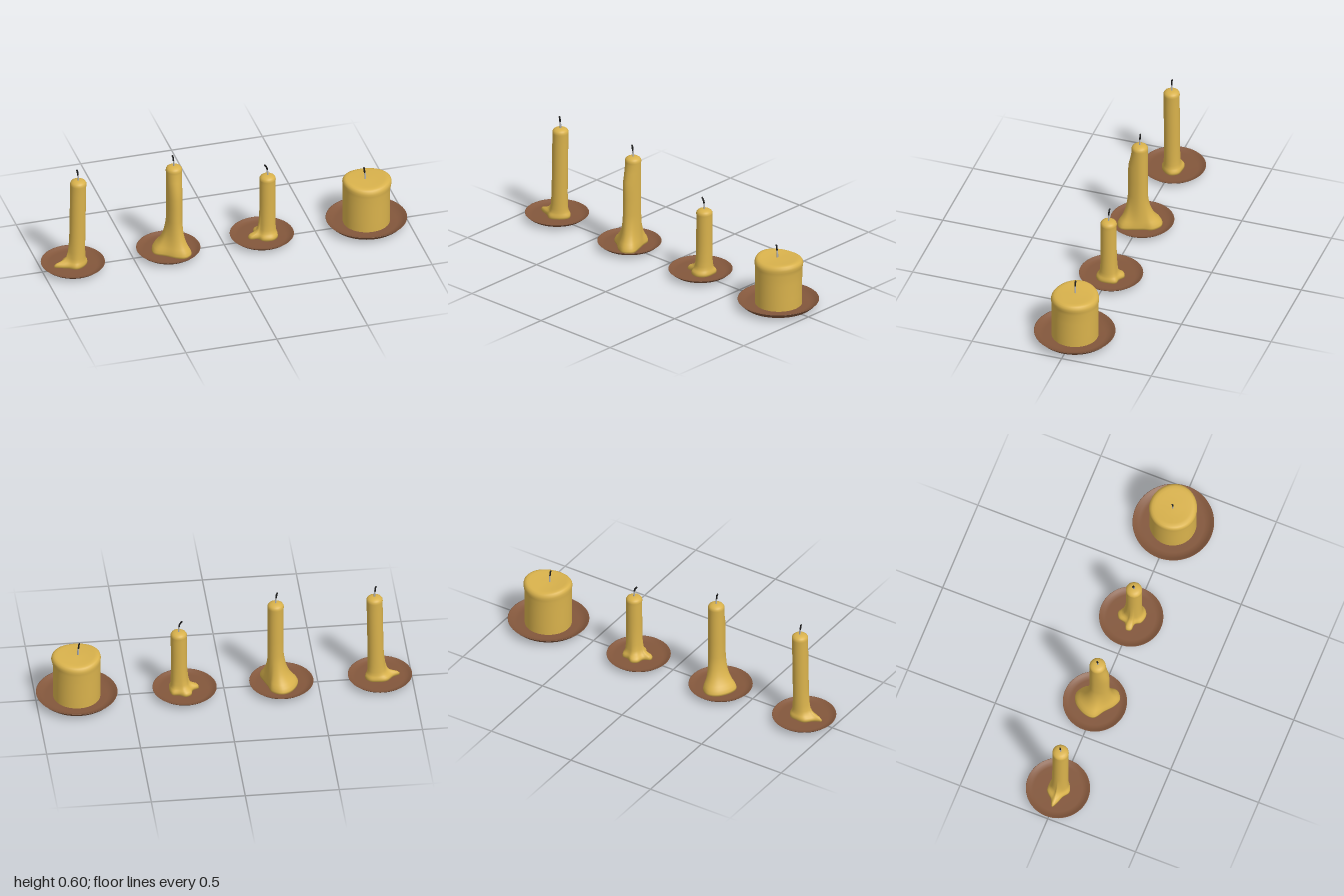
import * as THREE from 'three';

const wax = new THREE.MeshStandardMaterial({ color: 0xd9b24c });
wax.name = 'wax';
const clay = new THREE.MeshStandardMaterial({ color: 0x83573c, side: THREE.DoubleSide });
clay.name = 'brown clay';
const cotton = new THREE.MeshStandardMaterial({ color: 0xb4b4b4 });
cotton.name = 'grey wick';
const char = new THREE.MeshStandardMaterial({ color: 0x1c1c1c });
char.name = 'burnt wick';

const SEG = 64;
const smooth = (a, b, v) => THREE.MathUtils.smoothstep(v, a, b);

function addMesh(group, name, geometry, material) {
  const mesh = new THREE.Mesh(geometry, material);
  mesh.name = name;
  group.add(mesh);
  return mesh;
}

// Closed surface through stacked rings, bottom to top; point(ring, k) gives [x, y, z]
function loft(rings, point) {
  const pos = [], index = [];
  rings.forEach((ring, i) => {
    for (let k = 0; k < SEG; k++) {
      pos.push(...point(ring, k));
      if (i === 0) continue;
      const n = (k + 1) % SEG, a = (i - 1) * SEG + k, b = (i - 1) * SEG + n;
      const c = i * SEG + k, d = i * SEG + n;
      index.push(a, c, b, b, c, d);
    }
  });
  const g = new THREE.BufferGeometry();
  g.setAttribute('position', new THREE.Float32BufferAttribute(pos, 3));
  g.setIndex(index);
  g.computeVertexNormals();
  return g;
}

// Shallow dish: flat foot, rounded outside, flared rim, sunken floor
function saucer(group, x, z, r, y0, y1) {
  const h = y1 - y0;
  const profile = [
    [0, 0], [0.74, 0], [0.8, 0.06], [0.87, 0.25], [0.92, 0.5], [0.99, 0.96], [1, 1],
    [0.985, 0.99], [0.92, 0.72], [0.85, 0.52], [0.76, 0.43], [0, 0.4],
  ].map(([a, b]) => new THREE.Vector2(a * r, b * h));
  addMesh(group, 'saucer', new THREE.LatheGeometry(profile, SEG), clay).position.set(x, y0, z);
}

// Wick in two pieces: pale foot and charred, bent tip
function wick(group, x, y, z, bend) {
  const foot = [[0, -0.012], [0, 0.012], [-0.002, 0.032]];
  const tip = [[-0.002, 0.031], [-0.004, 0.042], [-bend * 0.6, 0.053], [-bend, 0.061]];
  [['wickFoot', foot, cotton], ['wickTip', tip, char]].forEach(([name, pts, mat]) => {
    const path = new THREE.CatmullRomCurve3(pts.map(([a, b]) => new THREE.Vector3(x + a, y + b, z)));
    addMesh(group, name, new THREE.TubeGeometry(path, 10, 0.0045, 8), mat);
    const end = path.getPoint(1);
    addMesh(group, name + 'End', new THREE.SphereGeometry(0.0045, 8, 6), mat).position.copy(end);
  });
}

// Taper candle: round column melting into a puddle outline at the foot
function taper({ name, saucerX, x, top, lean, puddle, melt, sag = 0, bend }) {
  const group = new THREE.Group();
  group.name = name;
  const cz = -0.0065, R = 0.0425;
  const curve = new THREE.CatmullRomCurve3(
    puddle.map(([px, pz]) => new THREE.Vector3(px, 0, pz)), true);
  const outline = curve.getSpacedPoints(SEG);
  const base = x - lean;

  // rings: [height, radius factor, puddle weight]
  const rings = [[0.014, 0, 0], [0.014, 1, 1], ...melt.map(([y, w]) => [y, 1, w])];
  for (const t of [0.3, 0.45, 0.6, 0.75, 0.88]) {
    const y = THREE.MathUtils.lerp(0.2, top, t);
    rings.push([y, 1, 0]);
  }
  rings.push([top - 0.028, 1.02, 0], [top - 0.018, 1.01, 0], [top - 0.01, 0.9, 0],
    [top - 0.004, 0.7, 0], [top - 0.001, 0.45, 0], [top, 0.2, 0], [top, 0, 0]);

  const geometry = loft(rings, ([y, f, w], k) => {
    const p = outline[k];
    const a = Math.atan2(p.z - cz, p.x - base);
    const cx = x - lean * (1 - y / top);
    const bulge = sag * (1 - smooth(0.37, 0.5, y)) * Math.max(0, Math.sin(a));
    const px = cx + R * f * Math.cos(a);
    const pz = cz + f * (R * Math.sin(a) + bulge);
    return [px + (p.x - px) * w, y, pz + (p.z - pz) * w];
  });
  // puddle outlines run counter to the loft winding when listed clockwise
  addMesh(group, 'waxColumn', geometry, wax);
  wick(group, x, top, cz, bend);
  saucer(group, saucerX, -0.01, 0.17, 0.007, 0.031);
  return group;
}

// Wide pillar candle with a softened, slightly dished and sagging top
function pillar() {
  const group = new THREE.Group();
  group.name = 'pillarCandle';
  const cx = 0.783, R = 0.125;
  const rings = [
    [0.0035, 0], [0.0035, 0.99], [0.01, 1], [0.08, 1], [0.16, 1], [0.22, 1], [0.245, 1.01],
    [0.262, 1.02], [0.273, 1], [0.281, 0.95], [0.284, 0.87], [0.283, 0.75],
    [0.279, 0.55], [0.277, 0.3], [0.276, 0],
  ];
  const geometry = loft(rings, ([y, f], k) => {
    const a = (k / SEG) * Math.PI * 2, c = Math.cos(a), s = Math.sin(a);
    const up = smooth(0.2, 0.27, y);
    const lip = 0.008 * up * f * Math.max(0, c) ** 2;
    const dip = up * f * f * (0.016 * s * s + 0.006 * Math.max(0, c) ** 3);
    const tilt = y < 0.005 ? -0.0035 * c * f : 0;
    return [cx + R * f * c + lip, y - dip + tilt, R * f * s - 0.002];
  });
  addMesh(group, 'waxPillar', geometry, wax);
  wick(group, 0.776, 0.284, 0, 0.007);
  saucer(group, cx, 0, 0.216, 0.003, 0.039);
  return group;
}

export function createModel() {
  const model = new THREE.Group();
  model.name = 'candleSet';

  const lowMelt = [[0.028, 0.97], [0.036, 0.85], [0.043, 0.6], [0.052, 0.36],
    [0.068, 0.2], [0.1, 0.1], [0.15, 0.03], [0.2, 0]];
  const tallMelt = [[0.028, 0.98], [0.045, 0.86], [0.06, 0.68], [0.08, 0.48],
    [0.105, 0.31], [0.135, 0.17], [0.17, 0.07], [0.21, 0]];

  // Tall candle with a long tongue of wax
  model.add(taper({
    name: 'tallCandle', saucerX: -0.83, x: -0.801, top: 0.532, lean: 0.009, bend: 0.008,
    melt: lowMelt,
    puddle: [[-0.75, -0.015], [-0.775, 0.03], [-0.826, 0.054], [-0.865, 0.03], [-0.905, 0.016],
      [-0.937, -0.002], [-0.9, -0.022], [-0.86, -0.06], [-0.81, -0.062], [-0.77, -0.052]],
  }));
  // Tall candle with a heavy melted foot
  model.add(taper({
    name: 'meltedCandle', saucerX: -0.305, x: -0.275, top: 0.532, lean: 0, bend: 0.008,
    melt: tallMelt, sag: 0.022,
    puddle: [[-0.215, 0.01], [-0.2, 0.075], [-0.24, 0.108], [-0.285, 0.095], [-0.335, 0.055],
      [-0.39, 0.015], [-0.388, -0.04], [-0.345, -0.105], [-0.295, -0.122], [-0.245, -0.09],
      [-0.232, -0.04]],
  }));
  // Short candle with a small puddle
  model.add(taper({
    name: 'shortCandle', saucerX: 0.21, x: 0.241, top: 0.388, lean: 0.002, bend: 0.016,
    melt: lowMelt,
    puddle: [[0.292, -0.012], [0.284, 0.035], [0.25, 0.06], [0.2, 0.05], [0.18, 0.022],
      [0.14, 0.016], [0.134, -0.01], [0.168, -0.03], [0.18, -0.07], [0.21, -0.085],
      [0.245, -0.066], [0.28, -0.06]],
  }));
  model.add(pillar());
  return model;
}
